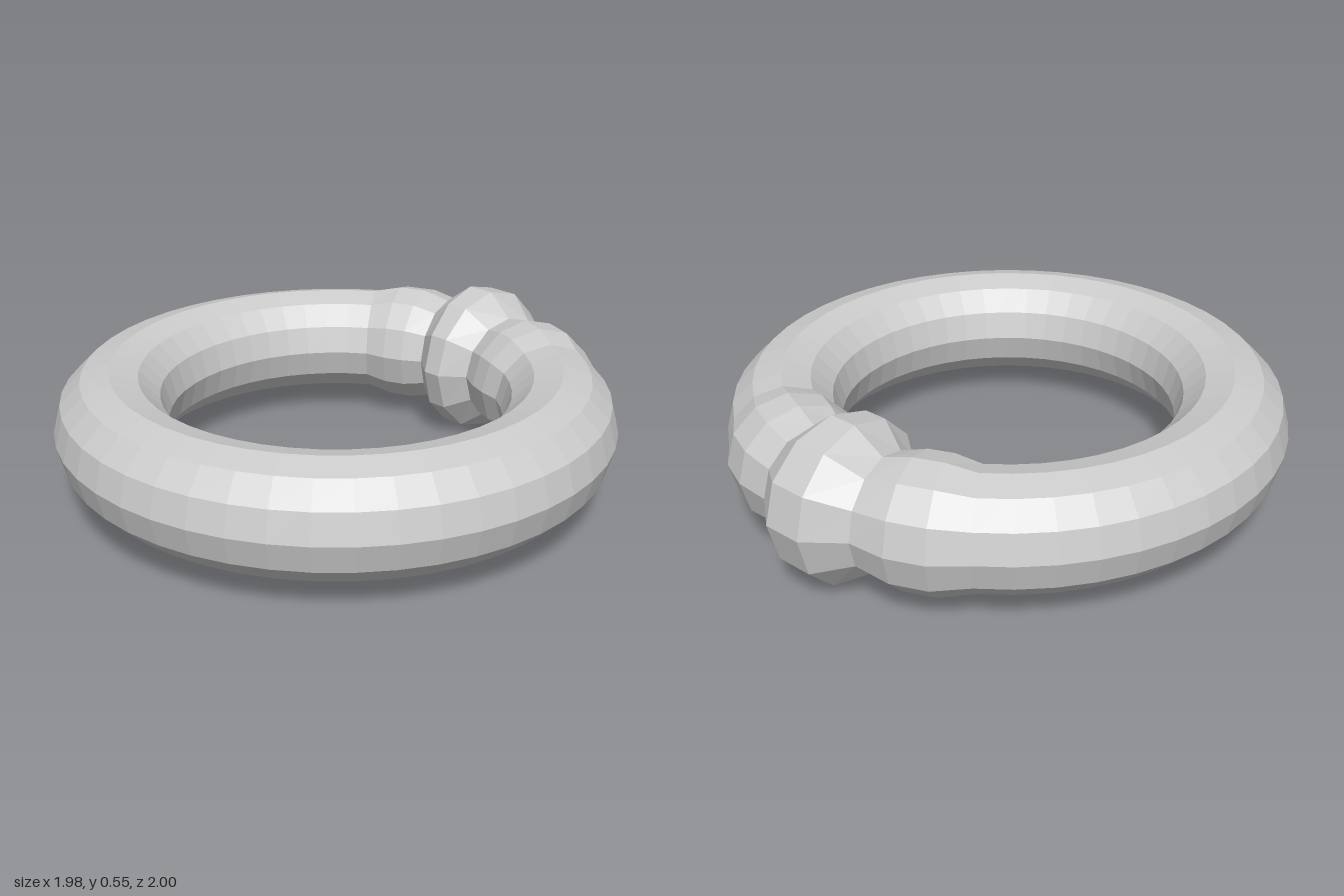
import * as THREE from 'three';

const RING_RADIUS = 0.79;
const TUBE = 0.198;
const SIDES = 12;
const STEP = Math.PI / 24; // 48 segments in the full circle

// A stretch of the ring starting at a given step, with one tube radius per cross-section
function ringSection(name, startStep, radii) {
  const segments = radii.length - 1;
  const geometry = new THREE.TorusGeometry(RING_RADIUS, TUBE, SIDES, segments, segments * STEP);
  const pos = geometry.attributes.position;
  for (let j = 0; j <= SIDES; j++) {
    const v = (j / SIDES) * Math.PI * 2;
    for (let i = 0; i <= segments; i++) {
      const u = (startStep + i) * STEP;
      const r = RING_RADIUS + radii[i] * Math.cos(v);
      pos.setXYZ(j * (segments + 1) + i, r * Math.cos(u), r * Math.sin(u), radii[i] * Math.sin(v));
    }
  }
  geometry.rotateX(-Math.PI / 2);
  geometry.computeVertexNormals();
  const material = new THREE.MeshStandardMaterial({ color: 0xcccccc, flatShading: true });
  const mesh = new THREE.Mesh(geometry, material);
  mesh.name = name;
  return mesh;
}

export function createModel() {
  const group = new THREE.Group();
  group.name = 'ring';
  const swell = 0.223, collar = 0.277;

  group.add(
    // plain round hoop
    ringSection('hoop', 13, new Array(40).fill(TUBE)),
    // swellings on either side of the collar
    ringSection('rightSwelling', 4, [TUBE, swell, swell, TUBE]),
    ringSection('leftSwelling', 10, [TUBE, swell, swell, TUBE]),
    // raised collar between them
    ringSection('collar', 7, [TUBE, collar, collar, TUBE])
  );
  group.position.set(0, collar, 0.012);
  return group;
}
